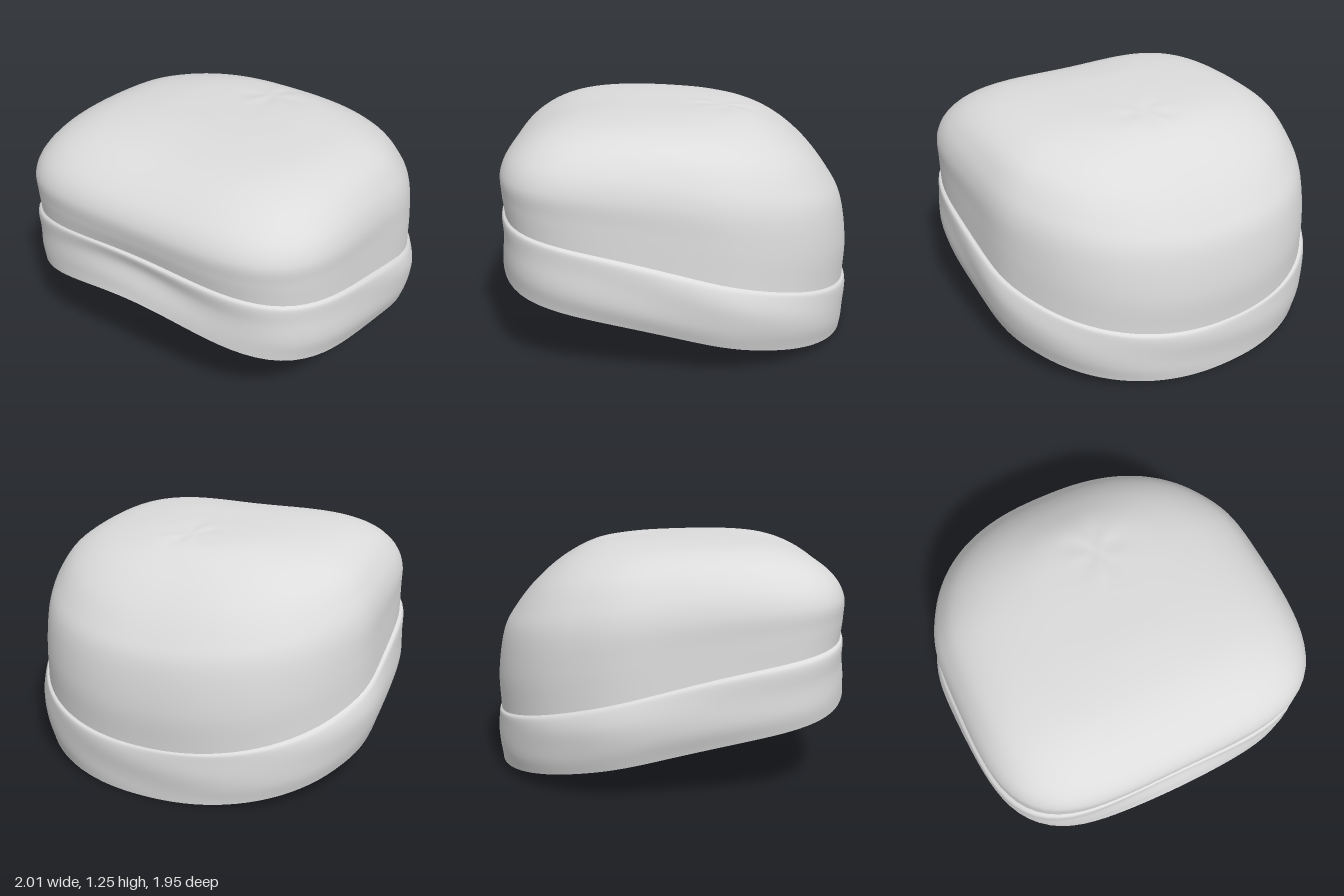
import * as THREE from 'three';

const SEGMENTS = 112;
const lerp = THREE.MathUtils.lerp;

// Smooth curve through [radius, value] pairs
const profile = (pairs) =>
  new THREE.CatmullRomCurve3(pairs.map(([r, v]) => new THREE.Vector3(r, v, 0)), false, 'catmullrom', 0.5);

// Rounded-square outline: squarer at the front, rounder at the back
function outline(s, c) {
  const n = lerp(2.3, 4, THREE.MathUtils.smoothstep(c, -0.5, 0.5));
  return Math.pow(Math.pow(Math.abs(s), n) + Math.pow(Math.abs(c), n), -1 / n);
}

// Quadratic blend from back (c = -1) through side (c = 0) to front (c = 1)
function blend(set, t, c) {
  const front = set.front.getPoint(t), side = set.side.getPoint(t), back = set.back.getPoint(t);
  return side.multiplyScalar(1 - c * c)
    .addScaledVector(front, (c * c + c) / 2)
    .addScaledVector(back, (c * c - c) / 2);
}

// Loft closed loops; at(t, c, a) returns { r, y } for each direction
function loft(rings, at) {
  const pos = [], index = [];
  for (let j = 0; j <= rings; j++) {
    for (let i = 0; i < SEGMENTS; i++) {
      const a = (i / SEGMENTS) * Math.PI * 2, s = Math.sin(a), c = Math.cos(a);
      const { r, y } = at(j / rings, c, a);
      const k = r * outline(s, c);
      pos.push(k * s, y, k * c);
      if (j === rings) continue;
      const n = (i + 1) % SEGMENTS, p = j * SEGMENTS, q = p + SEGMENTS;
      index.push(p + i, p + n, q + i, p + n, q + n, q + i);
    }
  }
  const g = new THREE.BufferGeometry();
  g.setAttribute('position', new THREE.Float32BufferAttribute(pos, 3));
  g.setIndex(index);
  g.computeVertexNormals();
  return g;
}

// Crown: radius and height, from the seam up to the top centre
const crownSet = {
  front: profile([[0.925, 0.79], [0.942, 0.88], [0.942, 0.98], [0.88, 1.075],
    [0.75, 1.16], [0.58, 1.22], [0.35, 1.25], [0.15, 1.253], [0, 1.25]]),
  side: profile([[0.962, 0.57], [0.955, 0.75], [0.945, 0.9], [0.9, 1.02],
    [0.81, 1.13], [0.65, 1.205], [0.42, 1.24], [0.2, 1.25], [0, 1.25]]),
  back: profile([[0.955, 0.29], [0.962, 0.5], [0.925, 0.73], [0.855, 0.86],
    [0.745, 0.995], [0.6, 1.115], [0.42, 1.21], [0.2, 1.243], [0, 1.25]]),
};

// Band: radius and fraction of the way from hem to seam
const bandSet = {
  front: profile([[0.935, 0], [0.93, 0.3], [0.918, 0.65], [0.935, 0.93], [0.925, 1]]),
  side: profile([[0.965, 0], [0.995, 0.3], [1.0, 0.65], [0.985, 0.93], [0.962, 1]]),
  back: profile([[0.955, 0], [0.963, 0.3], [0.97, 0.65], [0.968, 0.93], [0.955, 1]]),
};

export function createModel() {
  const group = new THREE.Group();
  group.name = 'knitCap';
  const fabric = new THREE.MeshStandardMaterial({ color: 0xdcdcdc, side: THREE.DoubleSide });
  fabric.name = 'light grey fabric';

  const crown = loft(54, (t, c) => {
    const p = blend(crownSet, t, c);
    return { r: Math.max(0, p.x), y: p.y };
  });
  // Small gathered pucker on the crown, behind the centre
  const v = crown.attributes.position;
  for (let i = 0; i < v.count; i++) {
    const dx = v.getX(i) - 0.06, dz = v.getZ(i) + 0.25;
    if (v.getY(i) < 1.05) continue;
    const d = Math.hypot(dx, dz), fade = Math.exp(-d * d / 0.03);
    v.setY(i, v.getY(i) - fade * 0.005 * (1 + Math.sin(5 * Math.atan2(dx, dz)) * Math.min(1, d * 8)));
  }
  crown.computeVertexNormals();

  // Folded band: hem dips to the back, with a slight brim at the front centre
  const band = loft(24, (t, c, a) => {
    const p = blend(bandSet, t, c);
    const hem = 0.23 + (c > 0 ? 0.22 * c + 0.08 * Math.pow(c, 6) : 0.23 * c);
    const seam = blend(crownSet, 0, c).y;
    const brim = 0.04 * Math.pow(Math.max(0, c), 8) * Math.pow(1 - t, 1.5);
    const wrinkle = 0.003 * Math.sin(Math.PI * t) * Math.sin(5 * a + 9 * t);
    return { r: p.x + brim + wrinkle, y: lerp(hem, seam, p.y) };
  });

  for (const [name, geometry] of [['crown', crown], ['foldedBand', band]]) {
    const mesh = new THREE.Mesh(geometry, fabric);
    mesh.name = name;
    group.add(mesh);
  }
  return group;
}
